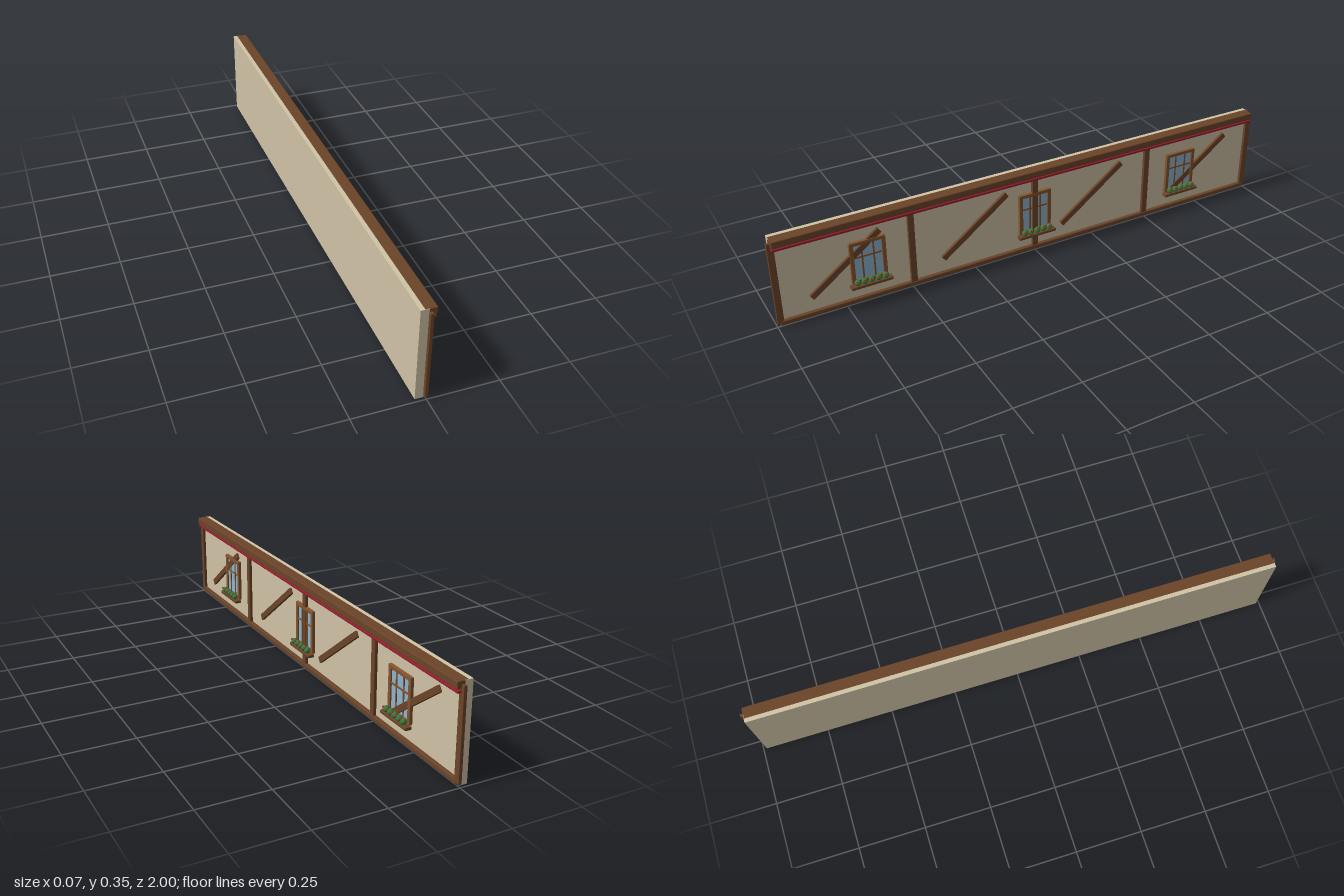
import * as THREE from 'three';
import { RoundedBoxGeometry } from 'three/addons/geometries/RoundedBoxGeometry.js';

const mat = (name, color) => new THREE.MeshStandardMaterial({ name, color });

export function createModel() {
  const model = new THREE.Group();
  model.name = 'timberFramedWall';
  const plaster = mat('plaster', 0xd0c3a6);
  const timber = mat('timber', 0x6b4429);
  const windowWood = mat('windowWood', 0x85552e);
  const glass = mat('glass', 0x8bb5d2);
  const red = mat('redTrim', 0x9c1c2e);
  const leaf = mat('leaf', 0x3a7a3a);
  const petal = mat('petal', 0xb8283a);

  const add = (parent, name, geometry, material, x, y, z) => {
    const mesh = new THREE.Mesh(geometry, material);
    mesh.name = name;
    mesh.position.set(x, y, z);
    parent.add(mesh);
    return mesh;
  };
  // Box given by its limits in x and y, its centre and length in z, and an edge radius
  const bar = (parent, name, material, x0, x1, y0, y1, z, length, radius = 0) => {
    const w = x1 - x0, h = y1 - y0;
    const geometry = radius
      ? new RoundedBoxGeometry(w, h, length, 2, radius)
      : new THREE.BoxGeometry(w, h, length);
    return add(parent, name, geometry, material, (x0 + x1) / 2, (y0 + y1) / 2, z);
  };

  // Plaster panel and the long horizontal beams
  bar(model, 'plasterPanel', plaster, -0.034, -0.005, 0, 0.347, 0, 1.976);
  bar(model, 'topBeam', timber, -0.02, 0.023, 0.32, 0.348, 0, 1.976, 0.004);
  bar(model, 'bottomBeam', timber, -0.009, 0.008, 0.006, 0.024, 0, 1.976, 0.004);
  bar(model, 'redTrim', red, 0.004, 0.02, 0.307, 0.317, 0, 1.976, 0.003);

  // Upright posts
  for (const z of [-0.988, -0.495, 0, 0.495, 0.988]) {
    bar(model, 'post', timber, -0.006, 0.0065, 0.01, 0.335, z, 0.024, 0.002);
  }

  // Diagonal braces, rising toward the back
  for (const z of [-0.741, -0.247, 0.247, 0.741]) {
    bar(model, 'brace', timber, -0.007, 0.005, 0.164, 0.188, z, 0.325, 0.002).rotation.x = 0.64;
  }

  // Windows with sill and planted flowers
  const bushGeometry = new THREE.IcosahedronGeometry(0.0115, 2);
  const flowerGeometry = new THREE.IcosahedronGeometry(0.0038, 1);
  for (const z of [-0.659, 0, 0.659]) {
    const win = new THREE.Group();
    win.name = 'window';
    win.position.z = z;
    model.add(win);
    bar(win, 'glass', glass, -0.006, 0.001, 0.09, 0.245, 0, 0.125);
    for (const s of [-1, 1]) {
      bar(win, 'frameSide', windowWood, -0.008, 0.0068, 0.084, 0.25, s * 0.059, 0.015, 0.002);
      bar(win, 'glazingBar', windowWood, -0.005, 0.004, 0.09, 0.24, s * 0.0215, 0.006);
    }
    bar(win, 'frameTop', windowWood, -0.008, 0.0068, 0.236, 0.25, 0, 0.133, 0.002);
    bar(win, 'frameBottom', windowWood, -0.008, 0.0068, 0.084, 0.098, 0, 0.133, 0.002);
    bar(win, 'crossBar', windowWood, -0.005, 0.004, 0.184, 0.19, 0, 0.118);
    bar(win, 'sill', timber, 0.003, 0.028, 0.074, 0.086, 0, 0.154, 0.003);
    for (let i = -2; i <= 2; i++) {
      add(win, 'bush', bushGeometry, leaf, 0.0195, 0.097, i * 0.026);
      add(win, 'flower', flowerGeometry, petal, 0.028, 0.105, i * 0.026 + 0.004);
    }
  }
  return model;
}
